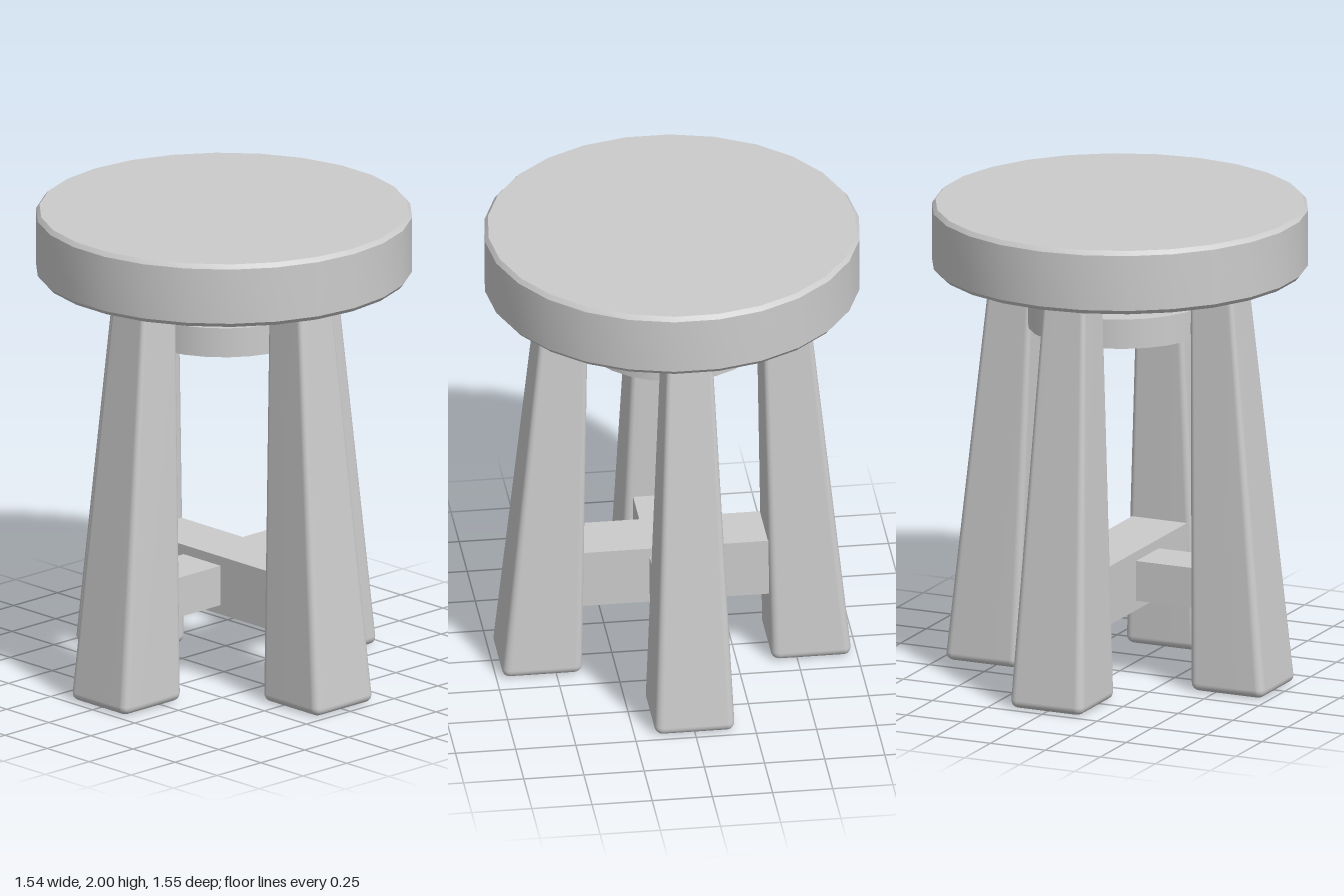
import * as THREE from 'three';
import { toCreasedNormals, mergeVertices } from 'three/addons/utils/BufferGeometryUtils.js';
import { RoundedBoxGeometry } from 'three/addons/geometries/RoundedBoxGeometry.js';

const material = new THREE.MeshStandardMaterial({ color: 0xcccccc });
const LEG_HEIGHT = 1.735;

function part(name, geometry, y = 0) {
  const mesh = new THREE.Mesh(geometry, material);
  mesh.name = name;
  mesh.position.y = y;
  return mesh;
}

// Rounded square post, tapering upwards and leaning in towards the centre
function legGeometry() {
  const geo = new RoundedBoxGeometry(0.335, LEG_HEIGHT, 0.335, 3, 0.035);
  geo.deleteAttribute('uv');
  geo.deleteAttribute('normal');
  const pos = geo.attributes.position;
  for (let i = 0; i < pos.count; i++) {
    const t = pos.getY(i) / LEG_HEIGHT + 0.5;
    const scale = THREE.MathUtils.lerp(1, 0.56, t);
    const offset = THREE.MathUtils.lerp(0.56, 0.452, t);
    pos.setXYZ(i, pos.getX(i) * scale, t * LEG_HEIGHT, pos.getZ(i) * scale + offset);
  }
  const merged = mergeVertices(geo, 1e-5);
  merged.computeVertexNormals();
  return merged;
}

export function createModel() {
  const model = new THREE.Group();
  model.name = 'stool';

  // Round seat with a small bevel on both rims
  const profile = [[0, 1.73], [0.762, 1.73], [0.777, 1.748], [0.777, 1.982], [0.762, 2], [0, 2]]
    .map(([r, y]) => new THREE.Vector2(r, y));
  model.add(part('seat', toCreasedNormals(new THREE.LatheGeometry(profile, 26), 0.5)));

  // Disc held between the legs below the seat
  model.add(part('upperBrace', new THREE.CylinderGeometry(0.38, 0.38, 0.125, 26), 1.54));

  // Four legs, one on each side
  const leg = legGeometry();
  ['frontLeg', 'leftLeg', 'backLeg', 'rightLeg'].forEach((name, i) => {
    const mesh = part(name, leg);
    mesh.rotation.y = i * Math.PI / 2;
    model.add(mesh);
  });

  // Crossed stretchers joining opposite legs
  model.add(part('sideStretcher', new THREE.BoxGeometry(1.04, 0.17, 0.22), 0.425));
  model.add(part('frontBackStretcher', new THREE.BoxGeometry(0.25, 0.25, 1.04), 0.425));

  return model;
}
